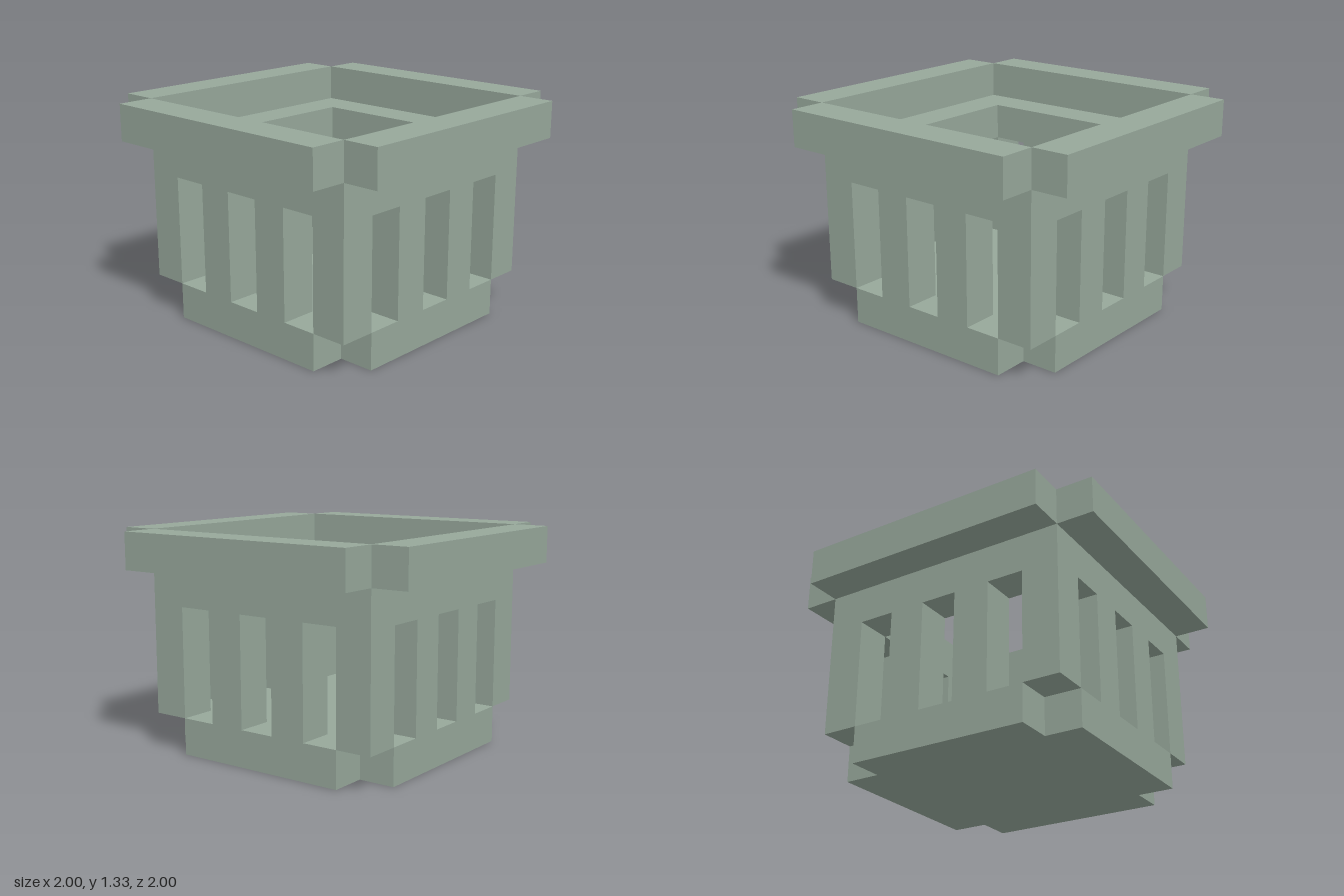
import * as THREE from 'three';

const U = 2 / 9; // one block

const stone = new THREE.MeshStandardMaterial({ color: 0x96a79a });
stone.name = 'grey green stone';

// Closed outline from corner points given in blocks
function outline(points, Type = THREE.Shape) {
  return new Type(points.map(([x, z]) => new THREE.Vector2(x * U, z * U)));
}

function square(half, Type) {
  return outline([[-half, -half], [half, -half], [half, half], [-half, half]], Type);
}

// Flat slab of a given outline, lying on height y (in blocks), one block thick
function slab(name, shape, y) {
  const geometry = new THREE.ExtrudeGeometry(shape, { depth: U, bevelEnabled: false });
  geometry.rotateX(-Math.PI / 2);
  const mesh = new THREE.Mesh(geometry, stone);
  mesh.name = name;
  mesh.position.y = y * U;
  return mesh;
}

// Box with sizes and centre in blocks
function block(name, size, centre) {
  const mesh = new THREE.Mesh(new THREE.BoxGeometry(...size.map((s) => s * U)), stone);
  mesh.name = name;
  mesh.position.set(...centre.map((c) => c * U));
  return mesh;
}

export function createModel() {
  const model = new THREE.Group();
  model.name = 'openBattlement';

  // Solid floor with notched corners
  const a = 3.5, b = 2.5;
  model.add(slab('floor', outline([
    [-b, -a], [b, -a], [b, -b], [a, -b], [a, b], [b, b],
    [b, a], [-b, a], [-b, b], [-a, b], [-a, -b], [-b, -b],
  ]), 0));

  // Pillars around the edge, leaving three windows on each side
  const pillars = new THREE.Group();
  pillars.name = 'pillars';
  for (let x = -3; x <= 3; x += 2) {
    for (let z = -3; z <= 3; z += 2) {
      const edges = (Math.abs(x) === 3) + (Math.abs(z) === 3);
      if (edges) pillars.add(block(edges === 2 ? 'cornerPillar' : 'pillar', [1, 3, 1], [x, 2.5, z]));
    }
  }
  model.add(pillars);

  // Lintel ring above the windows
  const ring = square(3.5);
  ring.holes.push(square(2.5, THREE.Path));
  model.add(slab('lintel', ring, 4));

  // Overhanging parapet rails, open at the corners
  for (const s of [-1, 1]) {
    model.add(block(s > 0 ? 'frontRail' : 'backRail', [7, 1, 1], [0, 5.5, 4 * s]));
    model.add(block(s > 0 ? 'leftRail' : 'rightRail', [1, 1, 7], [4 * s, 5.5, 0]));
  }

  return model;
}
